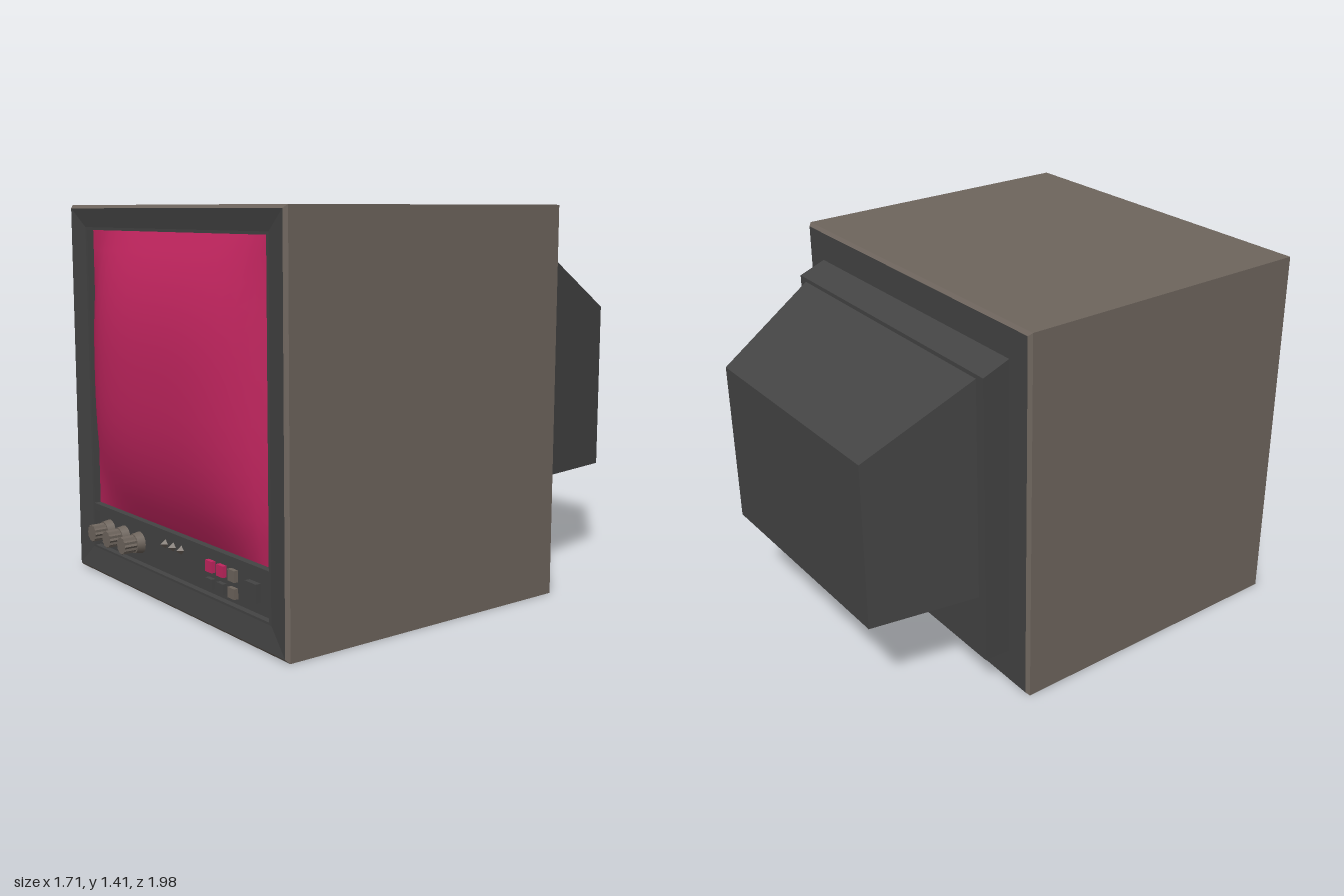
import * as THREE from 'three';

const mat = (name, color, side = THREE.FrontSide) => {
  const m = new THREE.MeshStandardMaterial({ color, side });
  m.name = name;
  return m;
};

// Flat-sided skin through rectangular rings [halfWidth, yBottom, yTop, z]; optional cap on the rearmost ring
function rectLoft(rings, cap = false) {
  const pos = [];
  const quad = (a, b, c, d) => pos.push(...a, ...b, ...c, ...a, ...c, ...d);
  const loops = rings.map(([w, y0, y1, z]) => [[-w, y0, z], [w, y0, z], [w, y1, z], [-w, y1, z]]);
  for (let r = 0; r < loops.length - 1; r++) {
    for (let i = 0; i < 4; i++) {
      const j = (i + 1) % 4;
      quad(loops[r][i], loops[r][j], loops[r + 1][j], loops[r + 1][i]);
    }
  }
  if (cap) quad(loops[0][3], loops[0][2], loops[0][1], loops[0][0]);
  const g = new THREE.BufferGeometry();
  g.setAttribute('position', new THREE.Float32BufferAttribute(pos, 3));
  g.computeVertexNormals();
  return g;
}

function rectPath(path, w, y0, y1) {
  path.moveTo(-w, y0);
  path.lineTo(w, y0);
  path.lineTo(w, y1);
  path.lineTo(-w, y1);
  path.closePath();
  return path;
}

export function createModel() {
  const model = new THREE.Group();
  const monitor = new THREE.Group();
  monitor.name = 'monitor';
  monitor.position.z = 0.197;
  monitor.rotation.y = -0.326;
  model.add(monitor);

  const shellMat = mat('warm grey shell', 0x6e655d);
  const darkMat = mat('charcoal plastic', 0x444444);
  const pinkMat = mat('magenta glass', 0xc2255f);

  const add = (name, geometry, material, x = 0, y = 0, z = 0) => {
    const m = new THREE.Mesh(geometry, material);
    m.name = name;
    m.position.set(x, y, z);
    monitor.add(m);
    return m;
  };

  // Cabinet with slim bevelled edges
  add('cabinetShell', rectLoft([
    [0.69, 0.012, 1.4, -0.6], [0.702, 0, 1.412, -0.588],
    [0.702, 0, 1.412, 0.588], [0.69, 0.012, 1.4, 0.6],
  ]), shellMat);

  // Rear panel, stepped collar and tapered tube housing
  add('backPanel', rectLoft([[0.69, 0.012, 1.4, -0.6], [0.69, 0.012, 1.4, -0.598]], true), darkMat);
  add('backCollar', rectLoft([[0.595, 0.145, 1.25, -0.704], [0.595, 0.14, 1.29, -0.6]], true), darkMat);
  add('tubeHousing', rectLoft([[0.472, 0.385, 1.015, -1.102], [0.556, 0.395, 1.235, -0.704]], true), darkMat);

  // Front frame: dished border and a flat face with two openings
  add('bezelBorder', rectLoft([[0.69, 0.012, 1.4, 0.6], [0.6, 0.095, 1.33, 0.588]]), darkMat);
  const face = rectPath(new THREE.Shape(), 0.6, 0.095, 1.33);
  face.holes.push(
    rectPath(new THREE.Path(), 0.588, 0.27, 1.32),
    rectPath(new THREE.Path(), 0.588, 0.103, 0.245),
  );
  add('bezelFace', new THREE.ExtrudeGeometry(face, { depth: 0.04, bevelEnabled: false }), darkMat, 0, 0, 0.548);

  // Bulging screen
  const screen = new THREE.PlaneGeometry(1.176, 1.05, 18, 14);
  const p = screen.attributes.position;
  for (let i = 0; i < p.count; i++) {
    const s = p.getX(i) / 0.588, t = p.getY(i) / 0.525;
    p.setZ(i, 0.115 * (1 - s ** 4) * (1 - Math.abs(t) ** 2.5));
  }
  screen.computeVertexNormals();
  add('screen', screen, pinkMat, 0, 0.795, 0.562);

  // Recessed control panel
  const panelZ = 0.565;
  add('controlPanel', new THREE.PlaneGeometry(1.176, 0.142), darkMat, 0, 0.174, panelZ);

  // Fluted knobs on round skirts
  const flutes = new THREE.Shape();
  for (let i = 0; i < 24; i++) {
    const a = (i / 24) * Math.PI * 2, r = i % 2 ? 0.029 : 0.033;
    flutes[i ? 'lineTo' : 'moveTo'](Math.cos(a) * r, Math.sin(a) * r);
  }
  flutes.closePath();
  const grip = new THREE.ExtrudeGeometry(flutes, { depth: 0.052, bevelEnabled: false });
  const skirt = new THREE.CylinderGeometry(0.036, 0.041, 0.03, 16).rotateX(Math.PI / 2);
  for (const x of [-0.505, -0.39, -0.275]) {
    add('knobSkirt', skirt, shellMat, x, 0.175, panelZ + 0.015);
    add('knobGrip', grip, shellMat, x, 0.175, panelZ + 0.028);
  }

  // Small pointed adjusters
  const stud = new THREE.ConeGeometry(0.017, 0.022, 4).rotateX(Math.PI / 2).toNonIndexed();
  stud.computeVertexNormals();
  for (const x of [-0.09, -0.035, 0.02]) add('adjuster', stud, shellMat, x, 0.21, panelZ + 0.011);

  // Push buttons in two rows, then the power button
  const rows = [
    [0.2, 0.04, [pinkMat, pinkMat, shellMat]],
    [0.14, 0.036, [darkMat, darkMat, shellMat]],
  ];
  for (const [y, h, colours] of rows) {
    colours.forEach((m, i) => add('button', new THREE.BoxGeometry(0.04, h, 0.016), m, 0.22 + i * 0.069, y, panelZ + 0.008));
  }
  add('powerButton', new THREE.BoxGeometry(0.064, 0.064, 0.02), darkMat, 0.478, 0.175, panelZ + 0.01);

  return model;
}
